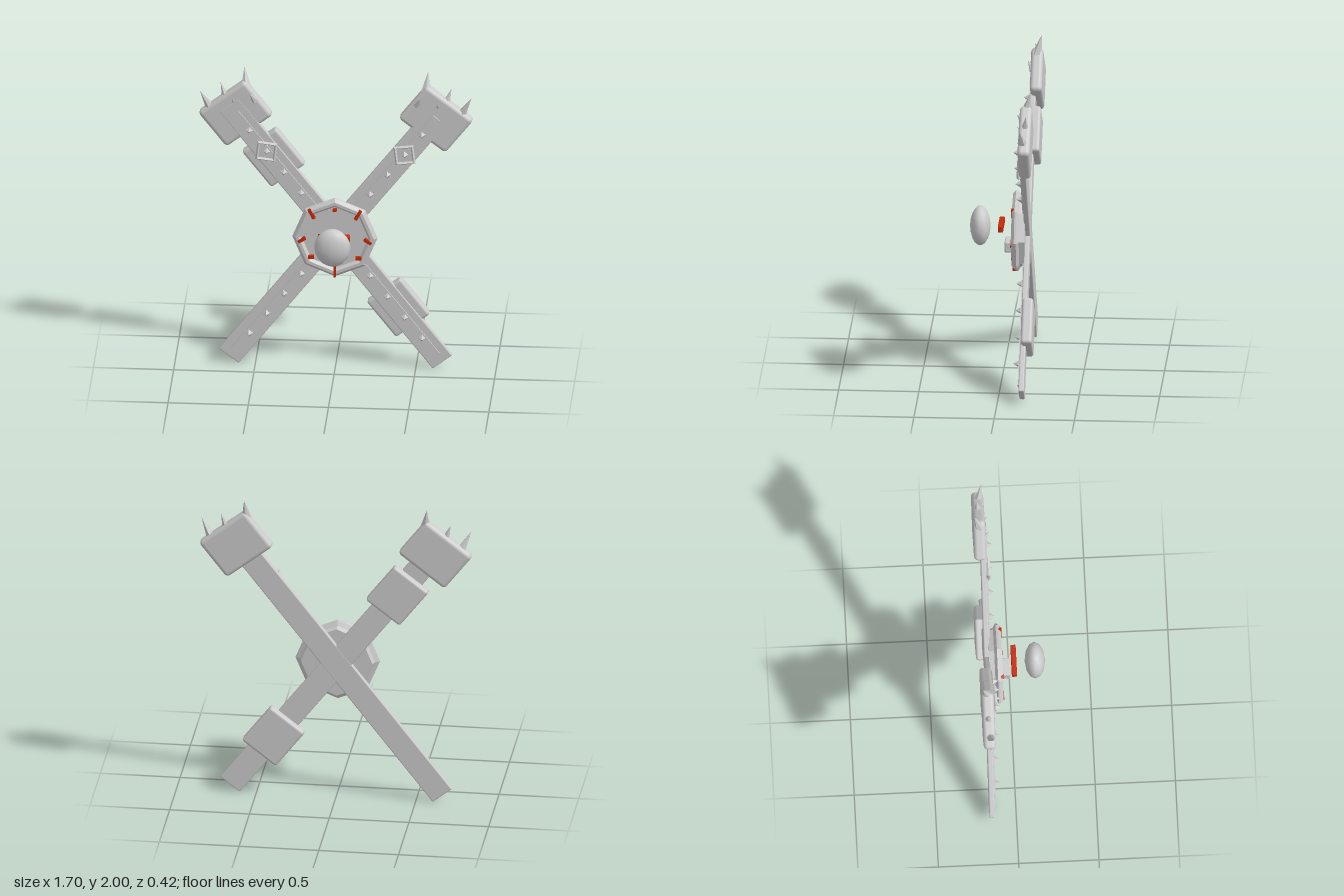
import * as THREE from 'three';
import { toCreasedNormals } from 'three/addons/utils/BufferGeometryUtils.js';
import { RoundedBoxGeometry } from 'three/addons/geometries/RoundedBoxGeometry.js';

const CENTRE_Y = 0.905;
const TILT = 0.661; // lean of each beam from vertical

export function createModel() {
  const model = new THREE.Group();
  const stone = new THREE.MeshStandardMaterial({ color: 0xcccccc });
  stone.name = 'paleGrey';
  const red = new THREE.MeshStandardMaterial({ color: 0xc62a06 });
  red.name = 'red';

  const add = (parent, name, geometry, material, x, y, z, rz = 0) => {
    const mesh = new THREE.Mesh(geometry, material);
    mesh.name = name;
    mesh.position.set(x, y, z);
    mesh.rotation.z = rz;
    parent.add(mesh);
    return mesh;
  };
  const flat = (geometry) => toCreasedNormals(geometry, 0.3);

  // Cone running from a base point to a tip
  const addSpike = (parent, name, base, tip, radius) => {
    const a = new THREE.Vector3(...base), b = new THREE.Vector3(...tip);
    const dir = b.clone().sub(a);
    const mesh = add(parent, name, flat(new THREE.ConeGeometry(radius, dir.length(), 6)), stone, 0, 0, 0);
    mesh.position.copy(a).add(b).multiplyScalar(0.5);
    mesh.quaternion.setFromUnitVectors(new THREE.Vector3(0, 1, 0), dir.normalize());
  };

  const studGeometry = flat(new THREE.ConeGeometry(0.025, 0.037, 4).rotateX(Math.PI / 2).rotateZ(Math.PI / 4));
  const frameGeometry = flat(new THREE.TorusGeometry(0.076, 0.013, 4, 4));
  const endBlockGeometry = new RoundedBoxGeometry(0.37, 0.29, 0.076, 3, 0.026);
  const midBlockGeometry = new RoundedBoxGeometry(0.27, 0.3, 0.069, 3, 0.018);

  // Two crossed beams; side is the x direction in which the upper end leans
  for (const side of [1, -1]) {
    const beam = new THREE.Group();
    beam.name = side > 0 ? 'leftLeaningBeam' : 'rightLeaningBeam';
    beam.position.y = CENTRE_Y;
    beam.rotation.z = -side * TILT;
    model.add(beam);

    const lift = side > 0 ? 0 : 0.001; // keeps the crossing faces apart
    add(beam, 'beamBody', new RoundedBoxGeometry(0.155, 2.17, 0.034, 2, 0.008), stone, 0, 0, -0.151 + lift);
    add(beam, 'raisedStrip', new THREE.BoxGeometry(0.052, 2.05, 0.02), stone, 0, 0, -0.135 + lift);

    // Studs along both arms
    for (const end of [1, -1]) {
      for (let i = 0; i < 4; i++) {
        add(beam, 'stud', studGeometry, stone, 0, end * (0.35 + i * 0.1755), -0.108);
      }
    }
    add(beam, 'diamondFrame', frameGeometry, stone, 0, 0.701, -0.122);
    add(beam, 'endBlock', endBlockGeometry, stone, side * 0.008, 1.008, -0.172);

    // Square blocks behind one beam only
    if (side < 0) {
      for (const t of [0.63, -0.635]) add(beam, 'middleBlock', midBlockGeometry, stone, 0, t, -0.173);
    }

    // Spikes on the end block
    const spikes = [
      [[0.56, 1.87, -0.17], [0.573, 2.0, -0.2], 0.034],
      [[0.68, 1.775, -0.17], [0.72, 1.895, -0.18], 0.032],
      [[0.775, 1.71, -0.17], [0.847, 1.85, -0.145], 0.034],
      [[0.635, 1.775, -0.15], [0.64, 1.805, -0.12], 0.018],
      [[0.505, 1.79, -0.15], [0.53, 1.845, -0.115], 0.024],
    ];
    for (const [base, tip, radius] of spikes) {
      addSpike(model, 'spike', [side * base[0], base[1], base[2]], [side * tip[0], tip[1], tip[2]], radius);
    }
  }

  // Eight-sided dial with a stepped rim
  const profile = [
    [0, -0.14], [0.225, -0.14], [0.235, -0.105], [0.265, -0.088], [0.265, -0.076],
    [0.245, -0.057], [0.225, -0.057], [0.208, -0.075], [0, -0.075],
  ].map(([r, y]) => new THREE.Vector2(r, y));
  add(model, 'dial', flat(new THREE.LatheGeometry(profile, 8).rotateX(Math.PI / 2)), stone, 0, CENTRE_Y, 0);

  // Red marks: x, y, width, height, rotation
  const marks = [
    [0, 1.097, 0.024, 0.018, 0],
    [0.145, 1.067, 0.02, 0.068, -0.48],
    [0.206, 0.888, 0.052, 0.02, -0.55],
    [0.148, 0.773, 0.036, 0.02, 0],
    [0, 0.682, 0.013, 0.08, 0],
  ];
  for (const [x, y, w, h, r] of marks) {
    for (const side of x ? [1, -1] : [1]) {
      add(model, 'dialMark', new THREE.BoxGeometry(w, h, 0.025), red, side * x, y, -0.065, side * r);
    }
  }

  // Parts standing in front of the dial
  add(model, 'smallBlock', new RoundedBoxGeometry(0.118, 0.07, 0.066, 2, 0.01), stone, 0, 0.812, -0.038);
  add(model, 'redBar', new RoundedBoxGeometry(0.2, 0.042, 0.033, 2, 0.006), red, 0, 0.942, -0.015 + 0.032);
  const orb = new THREE.SphereGeometry(1, 12, 10).scale(0.113, 0.125, 0.064);
  add(model, 'orb', orb, stone, 0, 0.935, 0.148);

  return model;
}
